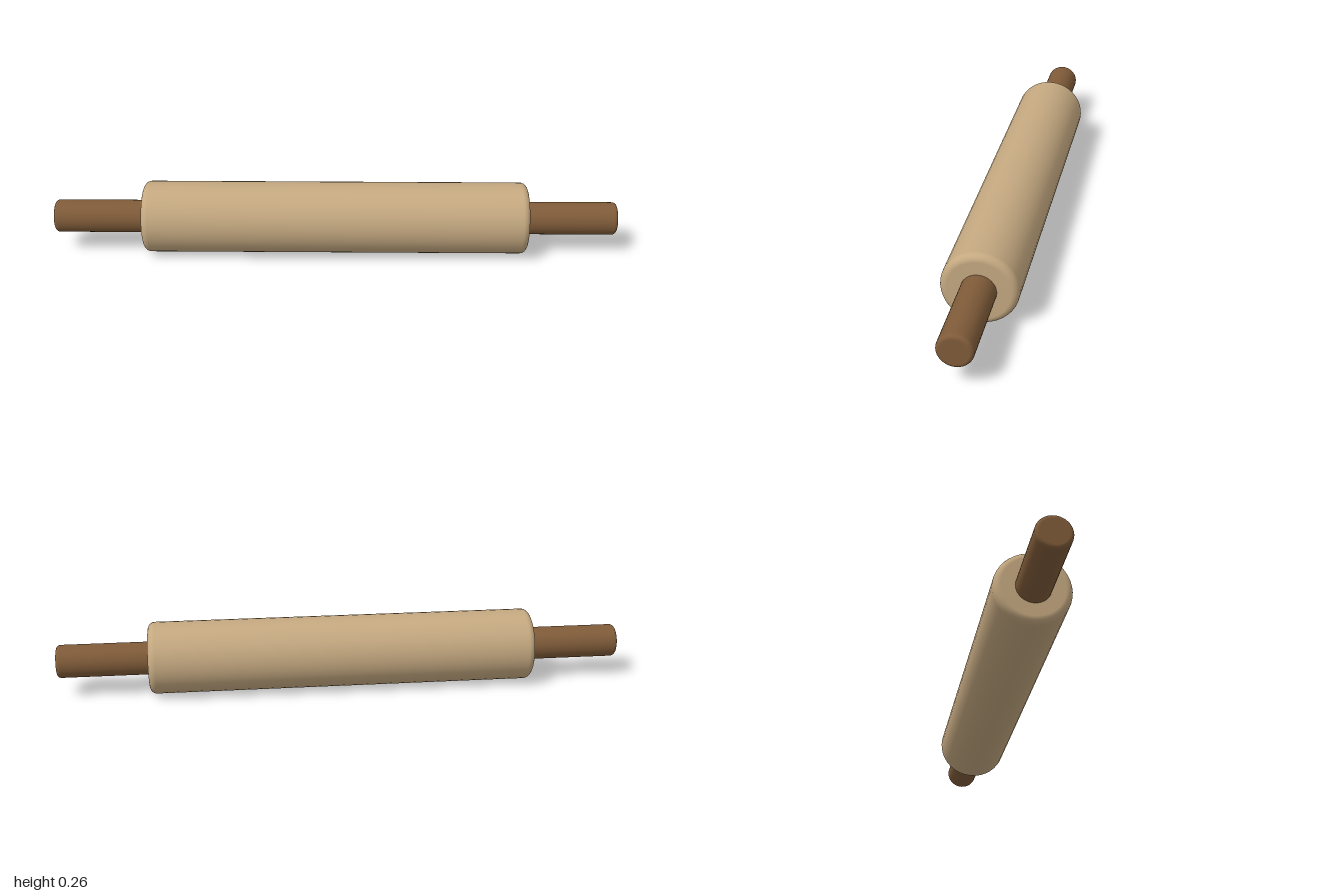
import * as THREE from 'three';

// Solid of revolution along x from x0 to x1, with rounded rims
function roundedRod(name, radius, x0, x1, bevel, material) {
  const half = (x1 - x0) / 2;
  const steps = 6;
  const profile = [new THREE.Vector2(0, -half)];
  for (const end of [-1, 1]) {
    for (let i = 0; i <= steps; i++) {
      const t = (end < 0 ? i : steps - i) / steps * Math.PI / 2;
      profile.push(new THREE.Vector2(
        radius - bevel + bevel * Math.sin(t),
        end * (half - bevel + bevel * Math.cos(t))
      ));
    }
  }
  profile.push(new THREE.Vector2(0, half));
  const geometry = new THREE.LatheGeometry(profile, 40);
  geometry.rotateZ(-Math.PI / 2);
  const mesh = new THREE.Mesh(geometry, material);
  mesh.name = name;
  mesh.position.x = (x0 + x1) / 2;
  return mesh;
}

export function createModel() {
  const lightWood = new THREE.MeshStandardMaterial({ color: 0xc4a880 });
  const darkWood = new THREE.MeshStandardMaterial({ color: 0x7f5b39 });

  // Pin lies level, turned slightly about the vertical
  const pin = new THREE.Group();
  pin.name = 'rollingPin';
  pin.position.y = 0.13;
  pin.rotation.y = THREE.MathUtils.degToRad(14.1);

  // Main roller
  pin.add(roundedRod('roller', 0.129, -0.694, 0.694, 0.025, lightWood));

  // Handles, set a little into the roller ends
  pin.add(roundedRod('leftHandle', 0.059, 0.65, 1.019, 0.014, darkWood));
  pin.add(roundedRod('rightHandle', 0.059, -1.019, -0.65, 0.014, darkWood));

  const model = new THREE.Group();
  model.name = 'model';
  model.add(pin);
  return model;
}
